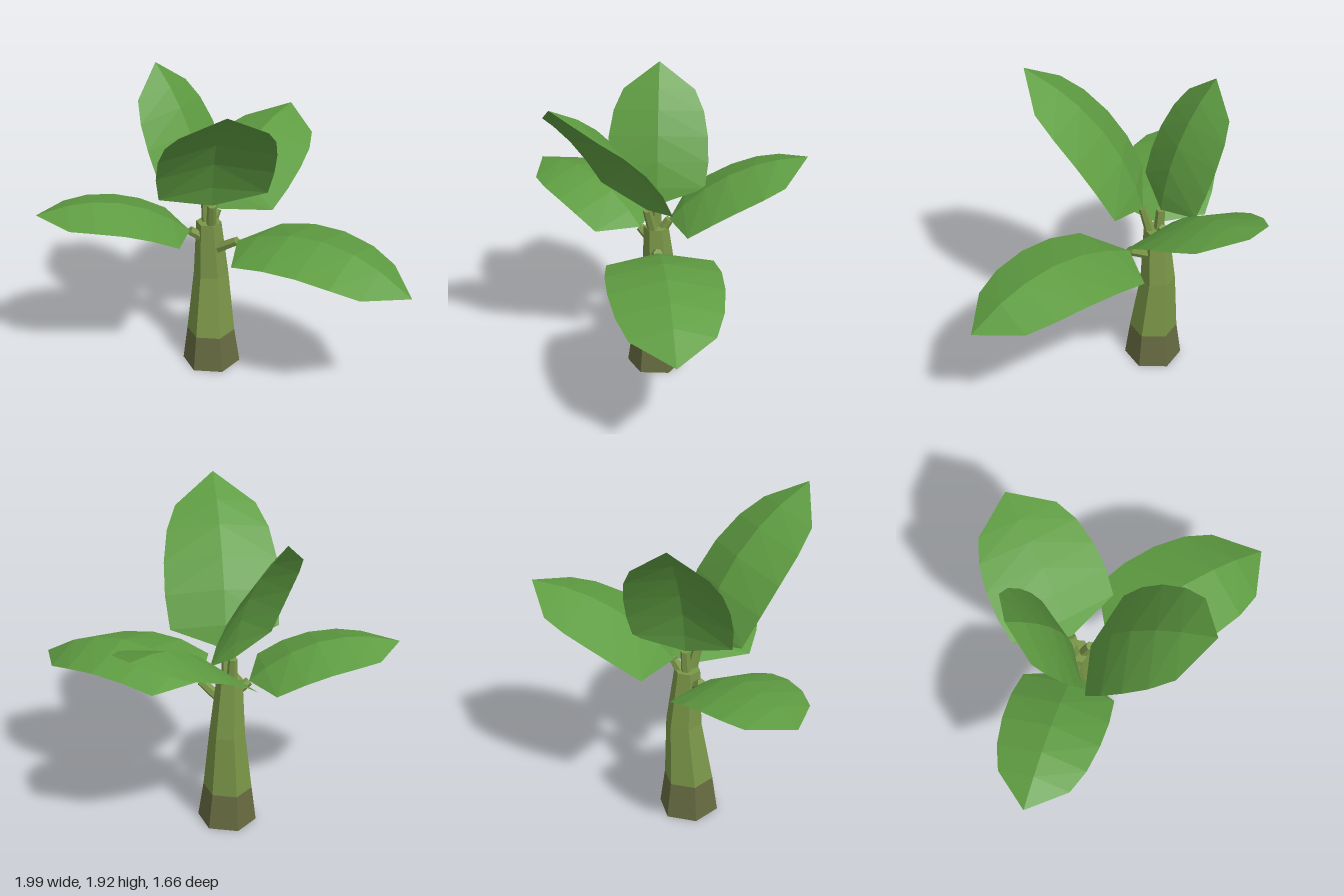
import * as THREE from 'three';

const flat = (name, color, side = THREE.FrontSide) =>
  Object.assign(new THREE.MeshStandardMaterial({ color, flatShading: true, side }), { name });

// Fractions along the midrib, half widths and edge droop at each station
const T = [0, 0.12, 0.30, 0.48, 0.66, 0.81, 1];
const WIDTH = [0, 0.315, 0.335, 0.33, 0.30, 0.238, 0];
const DROOP = [0, 0.055, 0.075, 0.085, 0.085, 0.075, 0];

// Arched blade: a raised midrib with two drooping halves
function bladeGeometry(base, tip, bow, w) {
  const chord = tip.clone().sub(base);
  const side = new THREE.Vector3(0, 1, 0).cross(chord).normalize();
  const up = chord.clone().cross(side).normalize();
  const pos = [], index = [];
  T.forEach((t, i) => {
    const mid = base.clone().addScaledVector(chord, t).addScaledVector(up, bow * 4 * t * (1 - t));
    for (const s of [-1, 0, 1]) {
      const p = mid.clone().addScaledVector(side, s * WIDTH[i] * w);
      if (s) p.addScaledVector(up, -DROOP[i] * w);
      pos.push(p.x, p.y, p.z);
    }
  });
  for (let i = 0; i < T.length - 1; i++) {
    for (let j = 0; j < 2; j++) {
      const a = i * 3 + j, b = a + 1, c = a + 3, d = a + 4;
      // Base and tip stations collapse to a point, so they need one triangle per half
      if (i === 0) index.push(a, c, d);
      else if (i === T.length - 2) index.push(a, c, b);
      else if (j === 0) index.push(a, c, d, a, d, b);
      else index.push(a, c, b, b, c, d);
    }
  }
  const g = new THREE.BufferGeometry();
  g.setAttribute('position', new THREE.Float32BufferAttribute(pos, 3));
  g.setIndex(index);
  g.computeVertexNormals();
  return g;
}

// Six-sided section between two horizontal rings [x, y, z, radius]
function section(lo, hi, open) {
  const h = hi[1] - lo[1];
  const g = new THREE.CylinderGeometry(hi[3], lo[3], h, 6, 1, open);
  const p = g.attributes.position;
  for (let i = 0; i < p.count; i++) {
    const k = p.getY(i) / h + 0.5;
    p.setXYZ(i, p.getX(i) + lo[0] + (hi[0] - lo[0]) * k, lo[1] + h * k,
      p.getZ(i) + lo[2] + (hi[2] - lo[2]) * k);
  }
  g.computeVertexNormals();
  return g;
}

export function createModel() {
  const model = new THREE.Group();
  model.name = 'broadLeafPlant';
  const leafGreen = flat('leafGreen', 0x5f9d42, THREE.DoubleSide);
  const stemGreen = flat('stemGreen', 0x7a9648);
  const rootBrown = flat('rootBrown', 0x666a40);
  const add = (parent, name, geometry, material) => {
    const m = new THREE.Mesh(geometry, material);
    m.name = name;
    parent.add(m);
    return m;
  };

  // Trunk: brown foot, then two tapering green lengths
  const rings = [
    [-0.29, 0, 0.055, 0.175], [-0.29, 0.22, 0.055, 0.145],
    [-0.30, 0.6, 0.03, 0.105], [-0.295, 0.95, 0.05, 0.075],
  ];
  add(model, 'trunkFoot', section(rings[0], rings[1], false), rootBrown);
  add(model, 'trunkLower', section(rings[1], rings[2], true), stemGreen);
  add(model, 'trunkUpper', section(rings[2], rings[3], false), stemGreen);

  // Leaves: stalk root, blade base, blade tip, arch height, width factor
  const leaves = [
    ['leftLeaf', [-0.25, 0.78, 0.05], [-0.10, 0.87, 0.03], [1, 0.78, -0.12], 0.175, 1],
    ['frontRightLeaf', [-0.30, 0.83, 0.06], [-0.36, 0.91, 0.15], [-0.95, 1.10, 0.81], 0.13, 0.87],
    ['backLeaf', [-0.30, 0.9, 0.03], [-0.295, 1.0, -0.03], [-0.33, 1.41, -0.84], 0.10, 1.03],
    ['tallFrontLeaf', [-0.27, 0.9, 0.06], [-0.23, 1.09, 0.10], [0.27, 1.92, 0.595], 0.13, 1],
    ['tallRightLeaf', [-0.31, 0.9, 0.05], [-0.32, 1.08, 0.045], [-0.67, 1.86, 0.045], 0.07, 0.9],
  ];
  const yAxis = new THREE.Vector3(0, 1, 0);
  for (const [name, root, base, tip, bow, w] of leaves) {
    const leaf = new THREE.Group();
    leaf.name = name;
    model.add(leaf);
    const r = new THREE.Vector3(...root), b = new THREE.Vector3(...base);
    add(leaf, 'blade', bladeGeometry(b, new THREE.Vector3(...tip), bow, w), leafGreen);
    const dir = b.clone().sub(r);
    const stalk = add(leaf, 'stalk', new THREE.CylinderGeometry(0.027, 0.032, dir.length(), 6), stemGreen);
    stalk.position.copy(r).add(b).multiplyScalar(0.5);
    stalk.quaternion.setFromUnitVectors(yAxis, dir.normalize());
  }
  return model;
}
